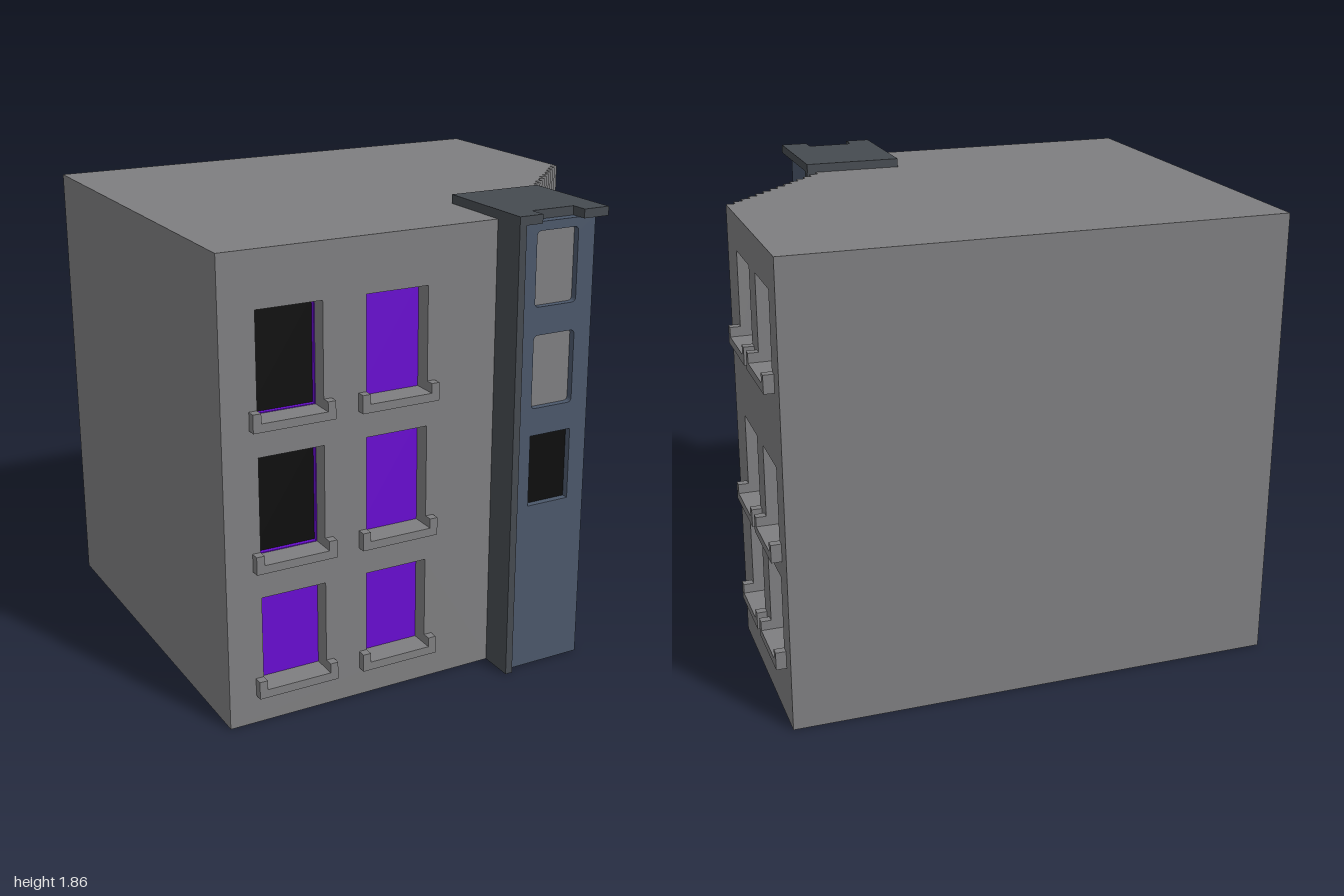
import * as THREE from 'three';

const mat = (name, color) => {
  const m = new THREE.MeshStandardMaterial({ color });
  m.name = name;
  return m;
};

export function createModel() {
  const grey = mat('concrete grey', 0x7e7e80);
  const purple = mat('purple glass', 0x680cd0);
  const black = mat('black', 0x0d0d0d);
  const blue = mat('slate blue', 0x4b576a);
  const dark = mat('dark trim', 0x454a50);
  const model = new THREE.Group();
  model.name = 'building';

  const add = (parent, name, geo, material) => {
    const m = new THREE.Mesh(geo, material);
    m.name = name;
    parent.add(m);
    return m;
  };
  // Box given by its minimum and maximum on each axis
  const box = (parent, name, material, x0, x1, y0, y1, z0, z1) => {
    const g = new THREE.BoxGeometry(x1 - x0, y1 - y0, z1 - z0);
    g.translate((x0 + x1) / 2, (y0 + y1) / 2, (z0 + z1) / 2);
    return add(parent, name, g, material);
  };
  const rect = (x0, x1, y0, y1, r = 0, Type = THREE.Path) => {
    const p = new Type();
    if (!r) {
      return p.moveTo(x0, y0).lineTo(x1, y0).lineTo(x1, y1).lineTo(x0, y1).closePath();
    }
    p.moveTo(x0 + r, y0).lineTo(x1 - r, y0).quadraticCurveTo(x1, y0, x1, y0 + r);
    p.lineTo(x1, y1 - r).quadraticCurveTo(x1, y1, x1 - r, y1);
    p.lineTo(x0 + r, y1).quadraticCurveTo(x0, y1, x0, y1 - r);
    return p.lineTo(x0, y0 + r).quadraticCurveTo(x0, y0, x0 + r, y0);
  };
  const slab = (shape, depth) =>
    new THREE.ExtrudeGeometry(shape, { depth, bevelEnabled: false, curveSegments: 4 });
  // Floor plan in (x, z) raised from y0 to y1
  const raise = (points, y0, y1) => {
    const shape = new THREE.Shape(points.map(([x, z]) => new THREE.Vector2(x, -z)));
    return slab(shape, y1 - y0).rotateX(-Math.PI / 2).translate(0, y0, 0);
  };

  const H = 1.82, D = 0.09;

  // Main block with a stepped corner
  const plan = [[-1, 0.65], [-1, -0.89], [0.96 - D, -0.89], [0.96 - D, -0.06]];
  const steps = 13, dx = 0.47 / steps, dz = 0.475 / steps;
  for (let i = 1; i <= steps; i++) {
    const x = 0.96 - i * dx;
    plan.push([x, -0.06 + (i - 1) * dz], [x, -0.06 + i * dz]);
  }
  plan.push([0.45, 0.415], [0.45, 0.65]);
  add(model, 'mainBlock', raise(plan.reverse(), 0, H), grey);

  // Wall with recessed windows and U-shaped sills; its outer face is local z = 0
  function windowWall(name, u0, u1, columns, rows, isBlack, sillDepth) {
    const wall = new THREE.Group();
    wall.name = name;
    const shape = rect(u0, u1, 0, H, 0, THREE.Shape);
    columns.forEach(([a, b], c) => rows.forEach(([y0, y1], r) => {
      shape.holes.push(rect(a, b, y0, y1));
      if (isBlack(c, r)) {
        box(wall, 'darkPane', black, a, b, y0, y1, -D, -D + 0.005);
        const lining = rect(a, b, y0, y1, 0, THREE.Shape);
        const e = 0.003;
        lining.holes.push(rect(a + e, b - e, y0 + e, y1 - e));
        add(wall, 'windowLining', slab(lining, 0.02).translate(0, 0, -D + 0.003), purple);
      } else {
        box(wall, 'windowPane', purple, a, b, y0, y1, -D, -0.07);
      }
      const w = 0.032, low = y0 - 0.033;
      box(wall, 'sill', grey, a - w, b + w, low, y0, 0, sillDepth);
      box(wall, 'sillEnd', grey, a - w, a, y0, y0 + 0.038, 0, sillDepth);
      box(wall, 'sillEnd', grey, b, b + w, y0, y0 + 0.038, 0, sillDepth);
    }));
    add(wall, 'wallPanel', slab(shape, D).translate(0, 0, -D), grey);
    model.add(wall);
    return wall;
  }
  windowWall('frontWall', -1, 0.14, [[-0.86, -0.597], [-0.423, -0.165]],
    [[0.147, 0.51], [0.655, 1.06], [1.2, 1.605]], (c, r) => c === 0 && r > 0, 0.035
  ).position.z = 0.74;
  const side = windowWall('sideWall', 0.06, 0.89, [[0.232, 0.455], [0.562, 0.785]],
    [[0.255, 0.585], [0.695, 1.02], [1.345, 1.68]], (c, r) => c === 0 && r === 1, 0.04);
  side.position.x = 0.96;
  side.rotation.y = Math.PI / 2;

  // Stair tower with recessed front windows
  const tower = new THREE.Group();
  tower.name = 'tower';
  model.add(tower);
  box(tower, 'towerBody', blue, 0.16, 0.49, 0, H, 0.46, 0.82);
  const face = rect(0.16, 0.49, 0, H, 0, THREE.Shape);
  [[0.695, 0.985, black, 0.002], [1.095, 1.385, grey, 0.018], [1.495, 1.785, grey, 0.018]]
    .forEach(([y0, y1, m, r]) => {
      face.holes.push(rect(0.23, 0.415, y0, y1, r));
      box(tower, 'towerPane', m, 0.225, 0.42, y0 - 0.005, y1 + 0.005, 0.818, 0.826);
    });
  add(tower, 'towerFront', slab(face, 0.033).translate(0, 0, 0.82), blue);

  // Dark frame and notched cap around the tower
  box(tower, 'leftFrame', dark, 0.13, 0.16, 0, H, 0.42, 0.885);
  box(tower, 'backFrame', dark, 0.16, 0.525, 0, H, 0.42, 0.46);
  const cap = [[0.13, 0.415], [0.13, 0.885], [0.23, 0.885], [0.23, 0.815],
    [0.415, 0.815], [0.415, 0.885], [0.525, 0.885], [0.525, 0.415]];
  add(tower, 'towerCap', raise(cap, H, 1.855), dark);

  // Square downpipe with two brackets
  box(tower, 'downpipe', black, 0.49, 0.562, 0, 1.71, 0.603, 0.675);
  for (const y of [0.405, 1.245]) {
    const bracket = [[0.49, 0.565], [0.49, 0.708], [0.585, 0.708], [0.595, 0.698],
      [0.595, 0.575], [0.585, 0.565]];
    add(tower, 'pipeBracket', raise(bracket, y, y + 0.031), grey);
  }
  return model;
}
